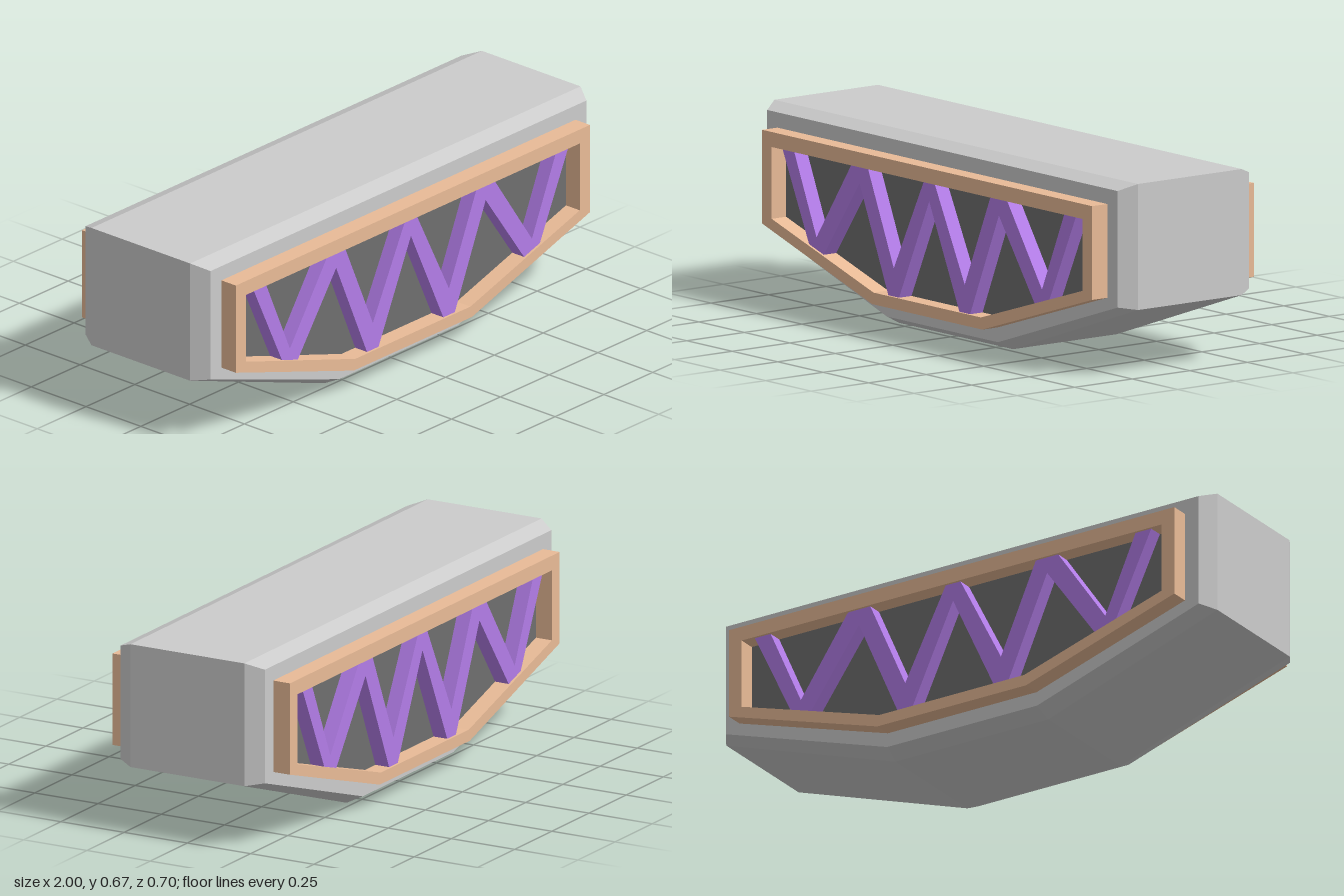
import * as THREE from 'three';
import { ConvexGeometry } from 'three/addons/geometries/ConvexGeometry.js';

const material = (color) => new THREE.MeshStandardMaterial({ color, flatShading: true });

// Symmetric six-sided outline: flat top, upright ends, sloped keel
function outline(halfWidth, top, shoulder, halfKeel, bottom) {
  return [
    [halfWidth, top], [-halfWidth, top], [-halfWidth, shoulder],
    [-halfKeel, bottom], [halfKeel, bottom], [halfWidth, shoulder],
  ].map(([x, y]) => new THREE.Vector2(x, y));
}

function slab(name, shape, z0, z1, mat) {
  const geometry = new THREE.ExtrudeGeometry(shape, { depth: z1 - z0, bevelEnabled: false });
  geometry.translate(0, 0, z0);
  const mesh = new THREE.Mesh(geometry, mat);
  mesh.name = name;
  return mesh;
}

export function createModel() {
  const model = new THREE.Group();
  model.name = 'trussBlock';
  const grey = material(0xcccccc);
  const dark = material(0x6f6f6f);
  const tan = material(0xe9bb97);
  const purple = material(0xb37de8);

  // Solid body with chamfered front and back edges
  const rim = outline(1, 0.673, 0.236, 0.312, 0);
  const face = outline(0.963, 0.65, 0.246, 0.305, 0.03);
  const points = [];
  for (const s of [-1, 1]) {
    rim.forEach((p) => points.push(new THREE.Vector3(p.x, p.y, s * 0.225)));
    face.forEach((p) => points.push(new THREE.Vector3(p.x, p.y, s * 0.285)));
  }
  const body = new THREE.Mesh(new ConvexGeometry(points), grey);
  body.name = 'body';
  model.add(body);

  // Frame outline with the window cut out
  const windowOutline = outline(0.855, 0.545, 0.296, 0.295, 0.122);
  const frameShape = new THREE.Shape(outline(0.907, 0.597, 0.272, 0.303, 0.081));
  frameShape.holes.push(new THREE.Path(windowOutline));

  // Zigzag truss: left halves of its upper and lower edges, mirrored
  const upper = [[-0.807, 0.545], [-0.743, 0.545], [-0.62, 0.265], [-0.428, 0.545],
    [-0.337, 0.545], [-0.195, 0.22], [-0.03, 0.545]];
  const lower = [[-0.66, 0.234], [-0.58, 0.21], [-0.383, 0.487], [-0.225, 0.122], [-0.166, 0.122]];
  const mirror = (list) => list.map(([x, y]) => [-x, y]).reverse();
  const zigzag = [...upper, ...mirror(upper), ...[...lower, [0, 0.48], ...mirror(lower)].reverse()];
  const trussShape = new THREE.Shape(zigzag.map(([x, y]) => new THREE.Vector2(x, y)));

  // Same decorated panel on front and back
  for (const [name, turn] of [['front', 0], ['back', Math.PI]]) {
    const side = new THREE.Group();
    side.name = name + 'Panel';
    side.add(
      slab('frame', frameShape, 0.28, 0.351, tan),
      slab('recess', new THREE.Shape(windowOutline), 0.28, 0.288, dark),
      slab('truss', trussShape, 0.284, 0.342, purple),
    );
    side.rotation.y = turn;
    model.add(side);
  }
  return model;
}
